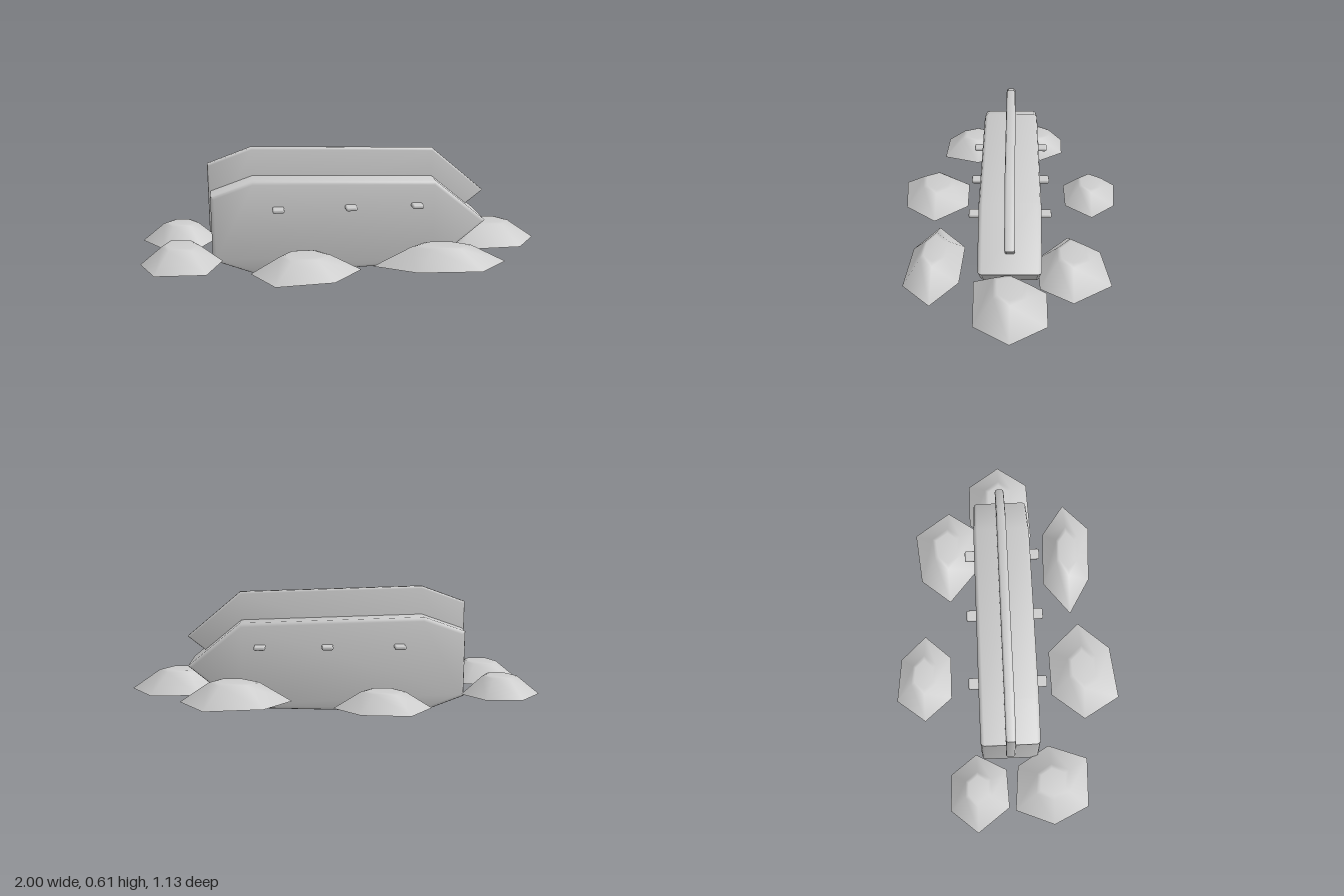
import * as THREE from 'three';
import { toCreasedNormals } from 'three/addons/utils/BufferGeometryUtils.js';
import { RoundedBoxGeometry } from 'three/addons/geometries/RoundedBoxGeometry.js';

const material = new THREE.MeshStandardMaterial({ color: 0xcccccc });

function addMesh(parent, name, geometry) {
  const mesh = new THREE.Mesh(geometry, material);
  mesh.name = name;
  parent.add(mesh);
  return mesh;
}

// Side outline extruded symmetrically about z = 0 with a small rounded rim
function slab(outline, thickness, bevel) {
  const shape = new THREE.Shape(outline.map(([x, y]) => new THREE.Vector2(x, y)));
  const geometry = new THREE.ExtrudeGeometry(shape, {
    depth: thickness - 2 * bevel,
    bevelSize: bevel,
    bevelOffset: -bevel,
    bevelThickness: bevel,
    bevelSegments: 2,
  });
  geometry.translate(0, 0, -thickness / 2 + bevel);
  return toCreasedNormals(geometry, 0.9);
}

// Six-sided mound: shrinking rings above a flat base, smooth on top
function mound(base, height) {
  const cx = base.reduce((s, p) => s + p[0], 0) / 6;
  const cz = base.reduce((s, p) => s + p[1], 0) / 6;
  const positions = [];
  const index = [];
  const ring = (scale, y) => base.forEach(([x, z]) =>
    positions.push(cx + (x - cx) * scale, y, cz + (z - cz) * scale));
  ring(1, 0.1);
  ring(0.45, 0.1 + height * 0.93);
  ring(0.34, 0.1 + height);
  positions.push(cx, 0.1 + height, cz);
  ring(1, 0.1);
  positions.push(cx, 0.1, cz);
  for (let i = 0; i < 6; i++) {
    const j = (i + 1) % 6;
    for (const r of [0, 6]) {
      index.push(r + i, r + i + 6, r + j + 6, r + i, r + j + 6, r + j);
    }
    index.push(18, 12 + j, 12 + i);
    index.push(25, 19 + i, 19 + j);
  }
  const geometry = new THREE.BufferGeometry();
  geometry.setAttribute('position', new THREE.Float32BufferAttribute(positions, 3));
  geometry.setIndex(index);
  geometry.computeVertexNormals();
  return geometry;
}

export function createModel() {
  const model = new THREE.Group();
  model.name = 'slabOnRocks';

  // Thick main body
  addMesh(model, 'body', slab([
    [-0.64, 0.08], [-0.43, 0], [0.45, 0.027], [0.705, 0.238],
    [0.45, 0.447], [-0.44, 0.472], [-0.64, 0.402],
  ], 0.28, 0.018));

  // Thin fin of the same outline, raised through the body
  addMesh(model, 'fin', slab([
    [-0.653, 0.19], [-0.44, 0.13], [0.45, 0.15], [0.718, 0.365],
    [0.455, 0.585], [-0.44, 0.61], [-0.653, 0.533],
  ], 0.046, 0.01));

  // Three pegs passing through both sides
  for (const x of [-0.32, 0.03, 0.355]) {
    addMesh(model, 'peg', new RoundedBoxGeometry(0.056, 0.021, 0.38, 2, 0.009))
      .position.set(x, 0.333, 0);
  }

  // Ring of low rocks: base corners as [x, z], then height
  const rocks = [
    [[[-1, -0.17], [-0.89, -0.3], [-0.715, -0.295], [-0.62, -0.17], [-0.7, -0.022], [-0.885, -0.015]], 0.095],
    [[[-0.975, 0.2], [-0.9, 0.015], [-0.685, 0.035], [-0.59, 0.19], [-0.66, 0.38], [-0.895, 0.37]], 0.092],
    [[[-0.44, -0.42], [-0.33, -0.562], [-0.11, -0.54], [0.01, -0.415], [-0.11, -0.285], [-0.325, -0.285]], 0.083],
    [[[-0.46, 0.385], [-0.33, 0.225], [-0.1, 0.222], [0.05, 0.385], [-0.09, 0.54], [-0.355, 0.565]], 0.085],
    [[[0.2, -0.28], [0.325, -0.43], [0.595, -0.46], [0.725, -0.28], [0.62, -0.135], [0.38, -0.13]], 0.1],
    [[[0.11, 0.35], [0.285, 0.217], [0.575, 0.23], [0.745, 0.35], [0.6, 0.482], [0.3, 0.462]], 0.095],
    [[[0.52, 0], [0.65, -0.165], [0.885, -0.162], [1, 0], [0.885, 0.155], [0.565, 0.165]], 0.102],
  ];
  for (const [base, height] of rocks) addMesh(model, 'rock', mound(base, height));

  return model;
}
